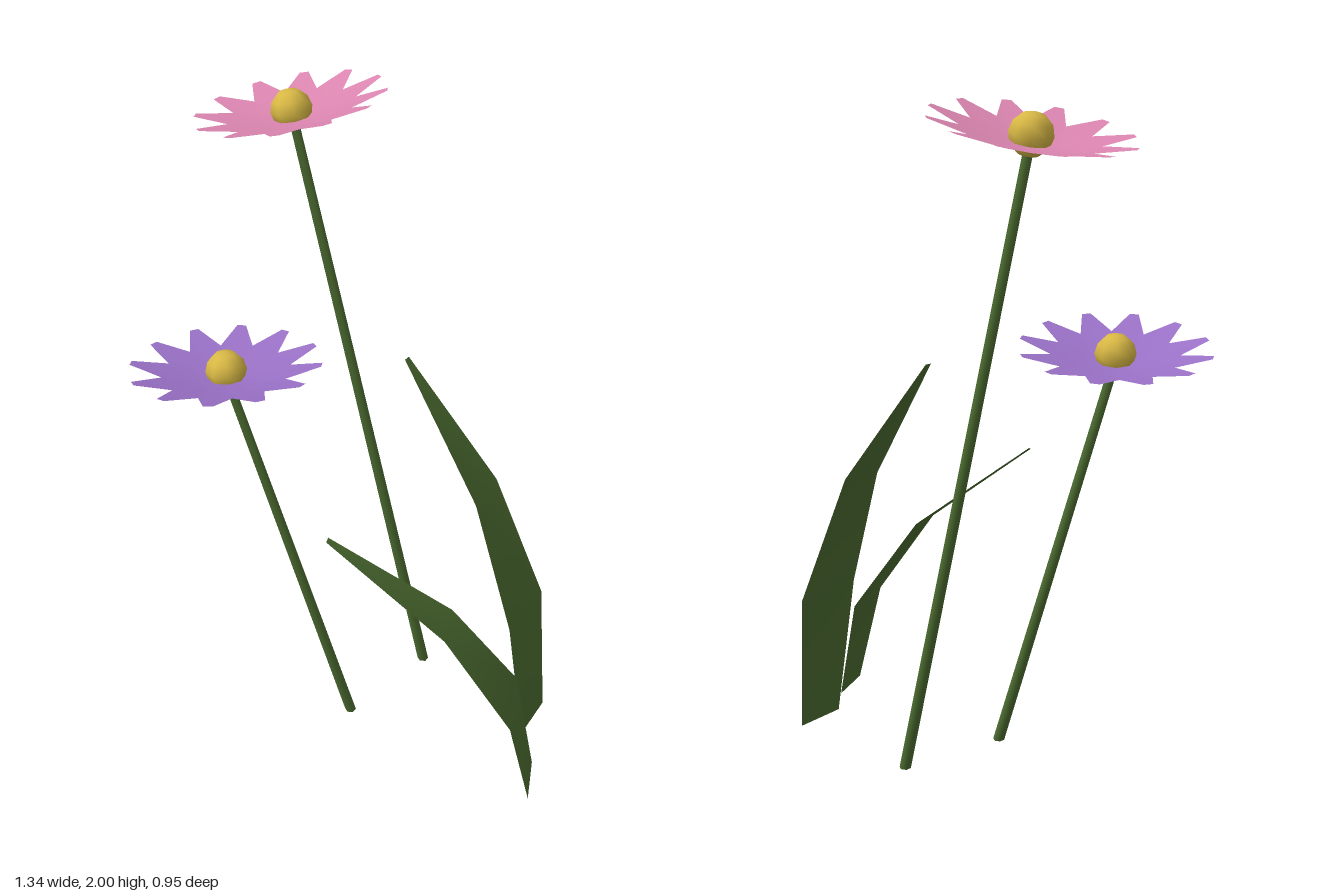
import * as THREE from 'three';

const mat = (name, color, extra = {}) => {
  const m = new THREE.MeshStandardMaterial({ color, ...extra });
  m.name = name;
  return m;
};

// Surface skinned between cross-sections, each an equal-length list of [x, y, z]
function skin(sections, closed) {
  const n = sections[0].length, index = [];
  for (let s = 0; s < sections.length - 1; s++) {
    for (let i = 0; i < (closed ? n : n - 1); i++) {
      const j = (i + 1) % n, a = s * n + i, b = s * n + j;
      index.push(a, a + n, b + n, a, b + n, b);
    }
  }
  const g = new THREE.BufferGeometry();
  g.setAttribute('position', new THREE.Float32BufferAttribute(sections.flat(2), 3));
  g.setIndex(index);
  g.computeVertexNormals();
  return g;
}

// Shallow cup of twelve blunt petals: notch, tip corner, tip corner
function petalGeometry() {
  const petals = 12, outline = [];
  for (let i = 0; i < petals; i++) {
    const a = (i / petals) * Math.PI * 2;
    outline.push([a - Math.PI / petals, 0.185, 0.021], [a - 0.048, 0.278, 0.044], [a + 0.048, 0.278, 0.044]);
  }
  const ring = (k, lift) => outline.map(([a, r, h]) => {
    const rr = k < 1 ? k * 0.2 : r;
    return [rr * Math.cos(a), k < 1 ? lift : h, -rr * Math.sin(a)];
  });
  return skin([ring(0.1, 0), ring(0.6, 0.008), ring(1)], true);
}

// Straight leaning stem, cut level at both ends
function stemGeometry([x0, y0, z0], [x1, y1, z1]) {
  const g = new THREE.CylinderGeometry(0.014, 0.018, y1 - y0, 6);
  g.translate(0, (y1 - y0) / 2, 0);
  const p = g.attributes.position;
  for (let i = 0; i < p.count; i++) {
    const t = p.getY(i) / (y1 - y0);
    p.setXYZ(i, p.getX(i) + x0 + (x1 - x0) * t, p.getY(i) + y0, p.getZ(i) + z0 + (z1 - z0) * t);
  }
  g.computeVertexNormals();
  return g;
}

export function createModel() {
  const model = new THREE.Group();
  model.name = 'flowers';
  const two = { side: THREE.DoubleSide };
  const green = mat('leaf green', 0x4b6b30, two);
  const yellow = mat('centre yellow', 0xd8b845);
  const pink = mat('petal pink', 0xdc86b1, two);
  const purple = mat('petal purple', 0x9b72c8, two);

  const add = (parent, name, geometry, material) => {
    const m = new THREE.Mesh(geometry, material);
    m.name = name;
    parent.add(m);
    return m;
  };

  // Flowers: stem, petals and round centre
  const flowers = [
    { name: 'pinkFlower', color: pink, base: [0.053, 0, -0.263], head: [-0.397, 1.9, -0.202], tilt: [0, 0.21] },
    { name: 'purpleFlower', color: purple, base: [-0.008, 0, 0.075], head: [-0.347, 1.26, 0.202], tilt: [-0.11, 0.12] },
  ];
  for (const f of flowers) {
    const flower = new THREE.Group();
    flower.name = f.name;
    add(flower, 'stem', stemGeometry(f.base, f.head), green);
    const head = new THREE.Group();
    head.name = 'flowerHead';
    head.position.set(...f.head);
    head.rotation.set(f.tilt[0], 0, f.tilt[1]);
    add(head, 'petals', petalGeometry(), f.color);
    add(head, 'flowerCentre', new THREE.SphereGeometry(0.06, 8, 6), yellow).position.y = 0.024;
    flower.add(head);
    model.add(flower);
  }

  // Leaves: edge pairs from the root to the tip
  add(model, 'tallLeaf', skin([
    [[0.51, 0, -0.157], [0.495, 0, -0.32]],
    [[0.457, 0.46, -0.123], [0.44, 0.45, -0.345]],
    [[0.298, 0.86, -0.149], [0.285, 0.87, -0.285]],
    [[0.012, 1.255, -0.18], [0.012, 1.255, -0.2]],
  ].map((s) => s.reverse())), green);
  add(model, 'shortLeaf', skin([
    [[0.667, 0, 0.062], [0.6, 0, -0.075]],
    [[0.615, 0.325, 0.118], [0.523, 0.335, -0.07]],
    [[0.41, 0.62, 0.178], [0.36, 0.63, 0.06]],
    [[0.065, 0.9, 0.284], [0.06, 0.905, 0.268]],
  ].map((s) => s.reverse())), green);

  return model;
}
